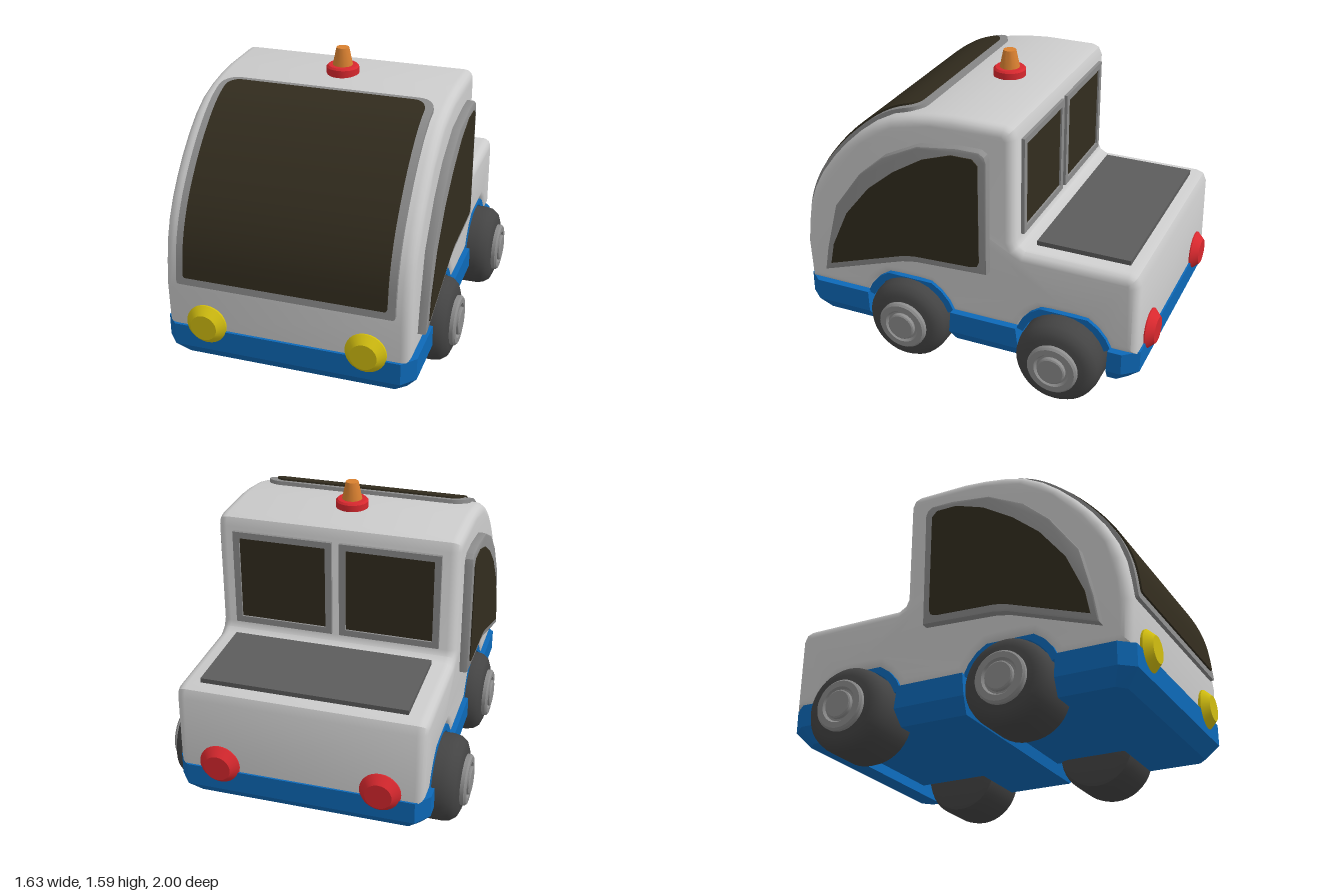
import * as THREE from 'three';
import { toCreasedNormals } from 'three/addons/utils/BufferGeometryUtils.js';

const mat = (color) => new THREE.MeshStandardMaterial({ color });
const grey = mat(0xcccccc), trim = mat(0x8c8c8c), rubber = mat(0x444444), panel = mat(0x5c5c5c);
const glass = mat(0x322c1e), blue = mat(0x0d69b8), yellow = mat(0xd2be10), red = mat(0xd8282e), orange = mat(0xd98030);

export function createModel() {
  const model = new THREE.Group();

  function add(name, geometry, material, x = 0, y = 0, z = 0, parent = model) {
    const mesh = new THREE.Mesh(geometry, material);
    mesh.name = name;
    mesh.position.set(x, y, z);
    parent.add(mesh);
    return mesh;
  }

  const toShape = (pts) => new THREE.Shape(pts.map(([u, v]) => new THREE.Vector2(u, v)));

  // Extrudes a (z, y) outline across x, from x0 to x1, with an inward bevel
  function sideExtrude(shape, x0, x1, bevel, segments = 2) {
    const geo = new THREE.ExtrudeGeometry(shape, {
      depth: x1 - x0 - 2 * bevel, bevelEnabled: bevel > 0, bevelSize: bevel,
      bevelThickness: bevel, bevelOffset: -bevel, bevelSegments: segments, curveSegments: 8,
    });
    geo.rotateY(-Math.PI / 2).translate(x1 - bevel, 0, 0);
    return toCreasedNormals(geo, 0.6);
  }

  // Skins a row of convex rings and caps both ends, faces pointing outward
  function loft(rings, crease = 0.5) {
    const n = rings[0].length, tris = [];
    for (let i = 0; i < rings.length - 1; i++) {
      for (let j = 0; j < n; j++) {
        const k = (j + 1) % n, a = rings[i], b = rings[i + 1];
        tris.push([a[j], a[k], b[k]], [a[j], b[k], b[j]]);
      }
    }
    const first = rings[0], last = rings[rings.length - 1];
    for (let j = 1; j < n - 1; j++) {
      tris.push([first[0], first[j + 1], first[j]], [last[0], last[j], last[j + 1]]);
    }
    let volume = 0;
    const v = (p) => new THREE.Vector3(...p);
    for (const [a, b, c] of tris) volume += v(a).dot(v(b).cross(v(c)));
    if (volume < 0) tris.forEach((t) => t.reverse());
    const geo = new THREE.BufferGeometry();
    geo.setAttribute('position', new THREE.Float32BufferAttribute(tris.flat(2), 3));
    return toCreasedNormals(geo, crease);
  }

  // Body: one side profile with the cab curve, the low rear deck and two wheel arches
  const wheelZ = [0.32, -0.56], wheelY = 0.23;
  const front = new THREE.CatmullRomCurve3([[0.955, 0.55], [0.92, 0.79], [0.85, 0.96], [0.735, 1.12],
    [0.585, 1.27], [0.42, 1.38], [0.24, 1.43], [0.05, 1.45]].map(([z, y]) => new THREE.Vector3(0, y, z)));
  const arch = (zc, r) => {
    const pts = [];
    for (let i = 0; i <= 10; i++) {
      const a = 0.34 + (i / 10) * (Math.PI - 0.68);
      pts.push([zc + r * Math.cos(a), Math.min(wheelY + r * Math.sin(a), 0.47)]);
    }
    return pts;
  };
  const profile = [
    [-0.955, 0.32], ...arch(wheelZ[1], 0.268).reverse(), ...arch(wheelZ[0], 0.268).reverse(),
    [0.945, 0.32], ...front.getSpacedPoints(12).map((p) => [p.z, p.y]),
    [-0.23, 1.45], [-0.27, 1.435], [-0.29, 1.39], [-0.29, 0.83], [-0.305, 0.8], [-0.34, 0.78],
    [-0.89, 0.78], [-0.93, 0.765], [-0.95, 0.72],
  ];
  add('body', sideExtrude(toShape(profile), -0.65, 0.65, 0.05, 4), grey);

  // Windscreen: strips following the cab curve, rounded at the top and bottom corners
  function curvedPanel(t0, t1, halfWidth, height, radius) {
    const length = front.getLength(), rings = [], steps = 40;
    for (let i = 0; i <= steps; i++) {
      const f = (1 - Math.cos((i / steps) * Math.PI)) / 2;
      const t = t0 + (t1 - t0) * f;
      const p = front.getPointAt(t), d = front.getTangentAt(t);
      const edge = (e, r) => (e < r ? r - Math.sqrt(r * r - (r - e) ** 2) : 0);
      const w = halfWidth - edge((t1 - t) * length, radius) - edge((t - t0) * length, 0.015);
      const at = (x, h) => [x, p.y - d.z * h, p.z + d.y * h];
      rings.push([at(-w, -0.02), at(-w, height), at(w, height), at(w, -0.02)]);
    }
    return loft(rings);
  }
  add('windscreenFrame', curvedPanel(0.02, 0.86, 0.575, 0.02, 0.09), trim);
  add('windscreenGlass', curvedPanel(0.05, 0.835, 0.535, 0.03, 0.07), glass);

  // Side windows, mirrored
  const frameOutline = [[0.815, 0.43], [0.79, 0.575], [0.72, 0.845], [0.565, 1.06], [0.42, 1.19], [0.22, 1.29],
    [0, 1.32], [-0.12, 1.32], [-0.15, 1.3], [-0.16, 1.27], [-0.155, 0.63], [0.25, 0.61], [0.33, 0.595]];
  const glassOutline = [[0.77, 0.485], [0.745, 0.61], [0.65, 0.82], [0.51, 0.995], [0.36, 1.12], [0.19, 1.225],
    [0.03, 1.28], [-0.085, 1.28], [-0.115, 1.25], [-0.115, 0.7], [-0.105, 0.675], [-0.07, 0.665], [0.26, 0.65], [0.33, 0.635]];
  for (const [side, s] of [['left', 1], ['right', -1]]) {
    const range = (a, b) => (s > 0 ? [a, b] : [-b, -a]);
    add(side + 'WindowFrame', sideExtrude(toShape(frameOutline), ...range(0.62, 0.695), 0.012), trim);
    add(side + 'WindowGlass', sideExtrude(toShape(glassOutline), ...range(0.64, 0.7), 0), glass);

    // Rear cab window: open frame with a recessed pane
    const rect = (w, h) => [[-w, -h], [w, -h], [w, h], [-w, h]];
    const rearFrame = toShape(rect(0.27, 0.265));
    rearFrame.holes.push(toShape(rect(0.235, 0.23)));
    const frameGeo = new THREE.ExtrudeGeometry(rearFrame, { depth: 0.04, bevelEnabled: false });
    add(side + 'RearWindowFrame', frameGeo, trim, s * 0.29, 1.105, -0.308);
    add(side + 'RearWindowGlass', new THREE.BoxGeometry(0.48, 0.47, 0.03), glass, s * 0.29, 1.105, -0.283);
  }

  // Deck panel behind the cab
  add('deckPanel', new THREE.BoxGeometry(1.08, 0.04, 0.5), panel, 0, 0.785, -0.62);

  // Chassis: end bumpers with cut corners, a middle block and a recessed spine
  function bumper(inner, shoulder, end) {
    const s = Math.sign(end);
    const ring = (y, w, c, zi, zs, ze) => [[-w, y, zi], [-w, y, zs], [-c, y, ze], [c, y, ze], [w, y, zs], [w, y, zi]];
    return loft([
      ring(0.13, 0.61, 0.56, inner - s * 0.01, shoulder - s * 0.04, end - s * 0.07),
      ring(0.21, 0.67, 0.605, inner, shoulder, end),
      ring(0.33, 0.67, 0.605, inner + s * 0.005, shoulder, end),
    ], 0.1);
  }
  add('frontBumper', bumper(0.565, 0.885, 0.96), blue);
  add('rearBumper', bumper(-0.805, -0.885, -0.965), blue);
  const sill = (y, w, z0, z1) => [[-w, y, z0], [-w, y, z1], [w, y, z1], [w, y, z0]];
  add('sill', loft([sill(0.13, 0.61, -0.31, 0.065), sill(0.21, 0.67, -0.32, 0.08), sill(0.33, 0.67, -0.305, 0.07)], 0.1), blue);
  add('chassisSpine', new THREE.BoxGeometry(0.84, 0.27, 1.6), blue, 0, 0.325, -0.02);

  // Wheel-arch liners
  for (const zc of wheelZ) {
    const liner = toShape([...arch(zc, 0.275), ...arch(zc, 0.237).reverse()]);
    for (const s of [1, -1]) {
      add('archLiner', sideExtrude(liner, s > 0 ? 0.38 : -0.645, s > 0 ? 0.645 : -0.38, 0), blue);
    }
  }

  // Lathe from [radius, height] points, turned so its axis points along +x
  const turned = (pts, segments) => toCreasedNormals(
    new THREE.LatheGeometry(pts.map(([r, h]) => new THREE.Vector2(r, h)), segments), 0.6);

  // Wheels: rounded tyre, hub ring and cap; the rear pair sits wider
  const tyre = turned([[0, -0.17], [0.17, -0.17], [0.21, -0.155], [0.23, -0.11], [0.23, 0.09],
    [0.222, 0.13], [0.2, 0.16], [0.165, 0.175], [0, 0.175]], 40).rotateZ(-Math.PI / 2);
  const hub = turned([[0.135, 0.15], [0.135, 0.195], [0.125, 0.205], [0.095, 0.205], [0.085, 0.19], [0, 0.19]], 32).rotateZ(-Math.PI / 2);
  const cap = turned([[0.075, 0.18], [0.075, 0.21], [0.068, 0.215], [0, 0.215]], 24).rotateZ(-Math.PI / 2);
  [['front', 0.555], ['rear', 0.602]].forEach(([end, x], i) => {
    for (const [side, s] of [['Left', 1], ['Right', -1]]) {
      const wheel = new THREE.Group();
      wheel.name = end + side + 'Wheel';
      wheel.position.set(s * x, wheelY, wheelZ[i]);
      wheel.rotation.y = s > 0 ? 0 : Math.PI;
      add('tyre', tyre, rubber, 0, 0, 0, wheel);
      add('hub', hub, trim, 0, 0, 0, wheel);
      add('hubCap', cap, trim, 0, 0, 0, wheel);
      model.add(wheel);
    }
  });

  // Head and tail lights
  const lamp = turned([[0.09, -0.03], [0.108, 0], [0.108, 0.01], [0.07, 0.05], [0, 0.05]], 28);
  for (const s of [1, -1]) {
    add('headlight', lamp, yellow, s * 0.425, 0.36, 0.95).rotation.x = Math.PI / 2;
    add('tailLight', lamp, red, s * 0.425, 0.36, -0.95).rotation.x = -Math.PI / 2;
  }

  // Roof beacon
  add('beaconBase', turned([[0.087, -0.02], [0.087, 0.035], [0.077, 0.045], [0, 0.045]], 24), red, 0, 1.45, 0.015);
  add('beaconLamp', turned([[0.055, 0], [0.034, 0.1], [0, 0.1]], 14), orange, 0, 1.49, 0.015);

  return model;
}
